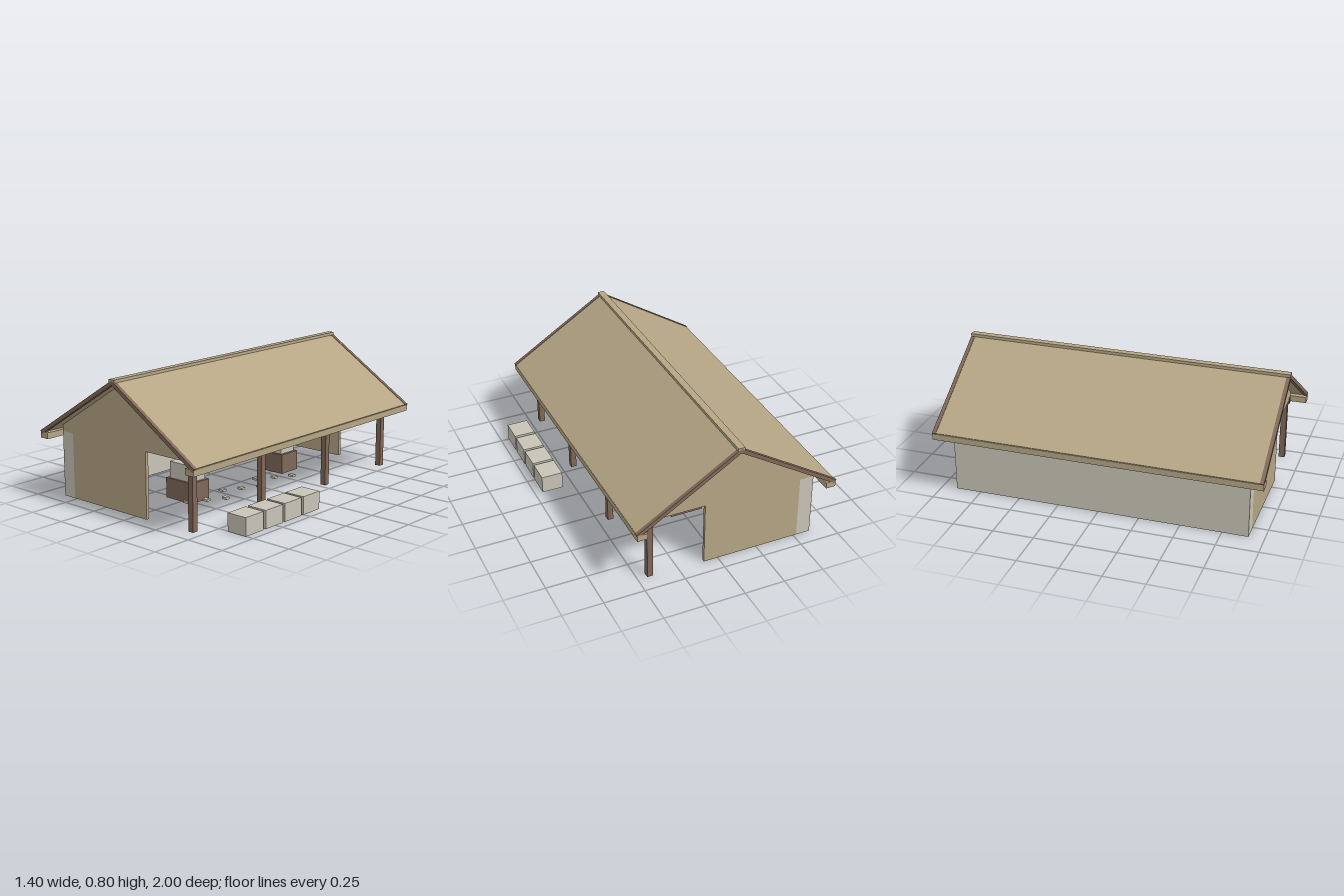
import * as THREE from 'three';

export function createModel() {
  const model = new THREE.Group();
  const mat = (name, color) => {
    const m = new THREE.MeshStandardMaterial({ color });
    m.name = name;
    return m;
  };
  const tan = mat('tan thatch', 0xb5a584);
  const brown = mat('brown timber', 0x806858);
  const grey = mat('pale grey plaster', 0xc8c4b6);

  // box given by its min and max corners
  function box(name, material, x0, x1, y0, y1, z0, z1) {
    const mesh = new THREE.Mesh(new THREE.BoxGeometry(x1 - x0, y1 - y0, z1 - z0), material);
    mesh.position.set((x0 + x1) / 2, (y0 + y1) / 2, (z0 + z1) / 2);
    mesh.name = name;
    model.add(mesh);
  }
  // outline in x, y extruded from z0 to z1
  function slab(name, material, points, z0, z1) {
    const shape = new THREE.Shape(points.map(([x, y]) => new THREE.Vector2(x, y)));
    const geo = new THREE.ExtrudeGeometry(shape, { depth: z1 - z0, bevelEnabled: false });
    const mesh = new THREE.Mesh(geo, material);
    mesh.position.z = z0;
    mesh.name = name;
    model.add(mesh);
  }

  const ridgeX = -0.077, slope = 0.627;
  // chevron section of the roof: apex height, half span, vertical thickness
  function chevron(top, half, thick) {
    const eave = top - half * slope, inner = half - 0.012;
    const low = top - thick - inner * slope;
    return [
      [ridgeX, top], [ridgeX - half, eave], [ridgeX - inner, low],
      [ridgeX, top - thick], [ridgeX + inner, low], [ridgeX + half, eave],
    ];
  }

  // roof, barge boards, ridge cap and eave beams
  slab('roof', tan, chevron(0.795, 0.622, 0.022), -0.977, 0.977);
  slab('frontBargeBoard', brown, chevron(0.798, 0.627, 0.028), 0.977, 1);
  slab('backBargeBoard', brown, chevron(0.798, 0.627, 0.028), -1, -0.977);
  box('ridgeCap', tan, ridgeX - 0.021, ridgeX + 0.021, 0.785, 0.803, -1, 1);
  box('rightEaveBeam', tan, -0.7, -0.64, 0.362, 0.4, -1, 1);
  box('leftEaveBeam', tan, 0.483, 0.545, 0.362, 0.4, -1, 1);

  // closed long wall and the two gable walls
  box('longWall', grey, -0.608, -0.52, 0, 0.4, -0.907, 0.907);
  const gable = [
    [-0.52, 0], [0.088, 0], [0.088, 0.4], [0.454, 0.4], [0.454, 0.438],
    [ridgeX, 0.772], [-0.608, 0.438], [-0.608, 0.4], [-0.52, 0.4],
  ];
  slab('frontGable', tan, gable, 0.887, 0.907);
  slab('backGable', tan, gable, -0.907, -0.887);

  // open side: posts and the plate above them
  for (const z of [-0.88, -0.302, 0.302, 0.88]) {
    box('post', brown, 0.406, 0.441, 0, 0.376, z - 0.018, z + 0.018);
  }
  box('postPlate', brown, 0.406, 0.441, 0.376, 0.415, -0.91, 0.91);

  // two timber stands, each with a pale block on top
  for (const z of [-0.375, 0.457]) {
    box('stand', brown, -0.125, 0.083, 0, 0.124, z - 0.075, z + 0.075);
    box('standBlock', grey, -0.105, 0.065, 0.124, 0.226, z - 0.0625, z + 0.0625);
  }

  // row of blocks outside the open side
  for (const z of [0.18, 0.346, 0.512, 0.68]) {
    box('outdoorBlock', grey, 0.568, 0.7, 0, 0.109, z - 0.074, z + 0.074);
  }

  // small floor tiles in repeating diagonals
  for (let i = 0; i < 9; i++) {
    const x = 0.043 + (i % 3) * 0.06, z = 0.53 - i * 0.104;
    box('floorTile', grey, x - 0.018, x + 0.018, 0, 0.013, z - 0.015, z + 0.015);
  }

  return model;
}
